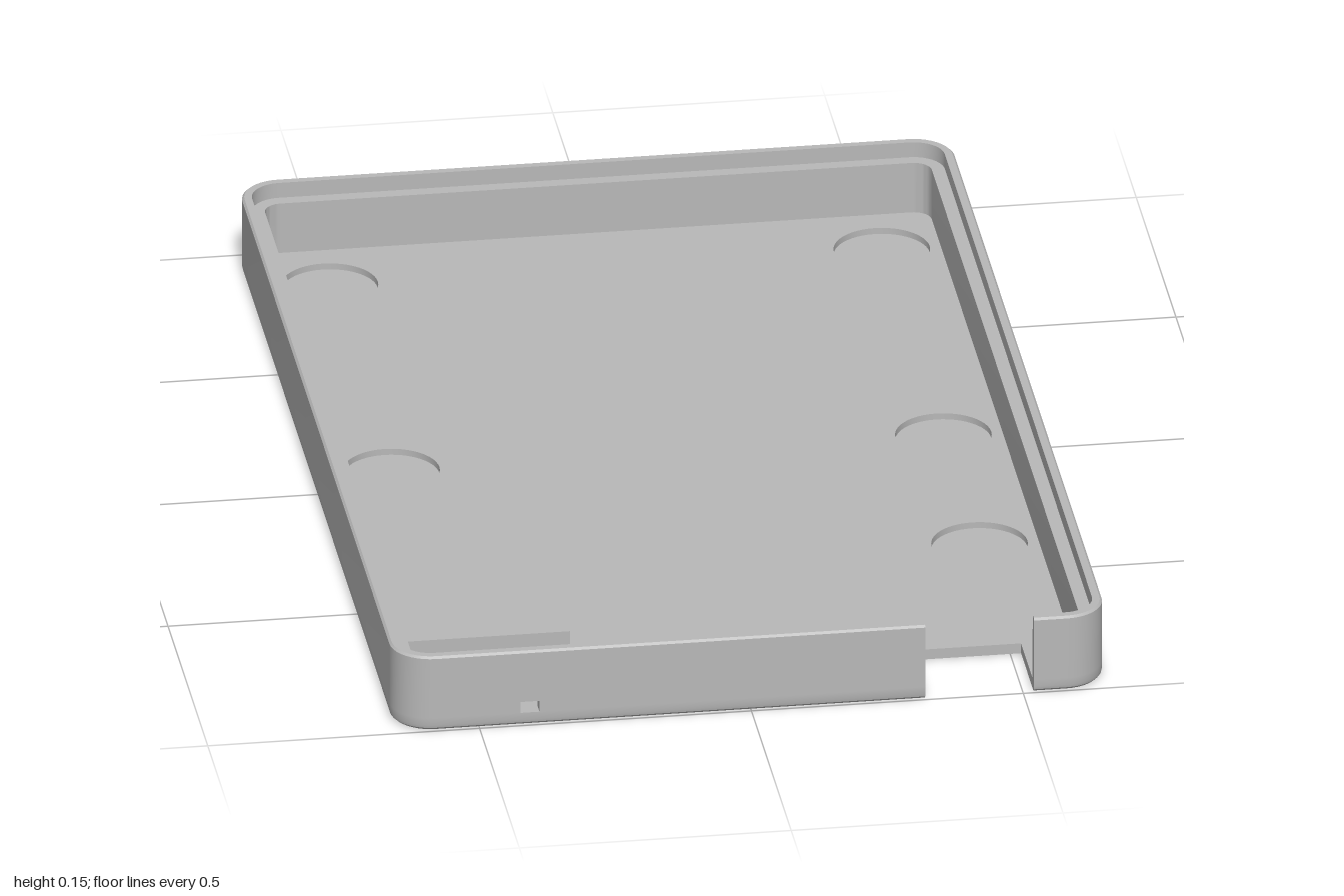
import * as THREE from 'three';
import { toCreasedNormals } from 'three/addons/utils/BufferGeometryUtils.js';

const W = 0.655, L = 1, R = 0.075;        // half width, half length, corner radius
const NOTCH = [0.32, 0.52], NOTCH_Z = 0.835;
const PORT = [-0.425, -0.39];             // small window in the front wall

// Rounded outline from the right of the notch, round the tray, to the left of it
function ring(inset, frontInset, y) {
  const r = R - inset, pts = [new THREE.Vector3(NOTCH[1], y, L - frontInset)];
  const centres = [
    [W - R, L - frontInset - r], [W - R, -L + R],
    [-W + R, -L + R], [-W + R, L - frontInset - r],
  ];
  centres.forEach(([cx, cz], c) => {
    for (let i = 0; i <= 10; i++) {
      const a = Math.PI / 2 * (1 - c - i / 10);
      pts.push(new THREE.Vector3(cx + r * Math.cos(a), y, cz + r * Math.sin(a)));
    }
  });
  for (const x of [...PORT, NOTCH[0]]) pts.push(new THREE.Vector3(x, y, L - frontInset));
  return pts;
}

// Wall section: side inset, front inset, height (outer face, lip, ledge, inner face)
const SECTION = [
  [0.012, 0.012, 0], [0.006, 0.006, 0.0016], [0.0016, 0.0016, 0.006], [0, 0, 0.012],
  [0, 0, 0.026], [0, 0, 0.048], [0, 0, 0.146], [0.004, 0.004, 0.15],
  [0.018, 0.018, 0.15], [0.018, 0.018, 0.12], [0.042, 0.022, 0.12],
  [0.042, 0.022, 0.048], [0.042, 0.022, 0.026], [0.042, 0.022, 0.008],
];

function wallGeometry(rings) {
  const pos = [];
  const quad = (a, b, c, d) => {
    for (const p of [a, b, c, a, c, d]) pos.push(p.x, p.y, p.z);
  };
  const h = rings[0].length - 3;          // segment holding the window
  for (let j = 0; j < rings.length - 1; j++) {
    for (let i = 0; i < rings[j].length - 1; i++) {
      if (i === h && (j === 4 || j === 11)) continue;
      quad(rings[j][i], rings[j][i + 1], rings[j + 1][i + 1], rings[j + 1][i]);
    }
  }
  // Lining of the window
  const [o1, o2, i2, i1] = [4, 5, 11, 12].map((j) => rings[j]);
  quad(o1[h], o1[h + 1], i1[h + 1], i1[h]);
  quad(o2[h], i2[h], i2[h + 1], o2[h + 1]);
  quad(o1[h], i1[h], i2[h], o2[h]);
  quad(o1[h + 1], o2[h + 1], i2[h + 1], i1[h + 1]);
  const g = new THREE.BufferGeometry();
  g.setAttribute('position', new THREE.Float32BufferAttribute(pos, 3));
  return toCreasedNormals(g, 0.5);
}

// Closes the wall where the notch cuts it; dir is the side it faces along x
function wallEnd(x, dir) {
  const shape = new THREE.Shape(SECTION.map(([, f, y]) => new THREE.Vector2(-dir * (L - f), y)));
  return new THREE.ShapeGeometry(shape).rotateY(dir * Math.PI / 2).translate(x, 0, 0);
}

function floorLayer(y0, y1, holes) {
  const pts = ring(0.012, 0.012, 0).map((p) => new THREE.Vector2(p.x, -p.z));
  pts.push(new THREE.Vector2(NOTCH[0], -NOTCH_Z), new THREE.Vector2(NOTCH[1], -NOTCH_Z));
  const shape = new THREE.Shape(pts);
  shape.holes = holes;
  const g = new THREE.ExtrudeGeometry(shape, { depth: y1 - y0, bevelEnabled: false, curveSegments: 24 });
  return toCreasedNormals(g.rotateX(-Math.PI / 2).translate(0, y0, 0), 0.5);
}

const circle = (x, z, r) => new THREE.Path().absarc(x, -z, r, 0, Math.PI * 2, true);

export function createModel() {
  const model = new THREE.Group();
  model.name = 'caseTray';
  const grey = new THREE.MeshStandardMaterial({ color: 0xb8b8b8 });
  grey.name = 'grey';
  const add = (name, geometry) => {
    const mesh = new THREE.Mesh(geometry, grey);
    mesh.name = name;
    model.add(mesh);
  };

  // Wall with a stepped rim, open at the notch
  add('wall', wallGeometry(SECTION.map(([s, f, y]) => ring(s, f, y))));
  add('wallEndLeft', wallEnd(NOTCH[1], -1));
  add('wallEndRight', wallEnd(NOTCH[0], 1));

  // Floor: solid base, then a layer with round recesses and a slot
  const pinhole = circle(0.54, 0.935, 0.013);
  const recesses = [
    [-0.51, -0.815], [0.505, -0.815], [-0.51, -0.04],
    [0.505, -0.04], [0.505, 0.415], [-0.51, 0.735],
  ].map(([x, z]) => circle(x, z, 0.088));
  const slot = new THREE.Path([[-0.465, -0.915], [-0.465, -0.892], [-0.355, -0.892], [-0.355, -0.915]]
    .map(([x, y]) => new THREE.Vector2(x, y)));
  add('floorBase', floorLayer(0, 0.008, [pinhole]));
  add('floorTop', floorLayer(0.008, 0.02, [pinhole, slot, ...recesses]));

  // Rib beside the front wall
  add('rib', new THREE.BoxGeometry(0.31, 0.105, 0.023).translate(-0.47, 0.0675, 0.857));
  return model;
}
